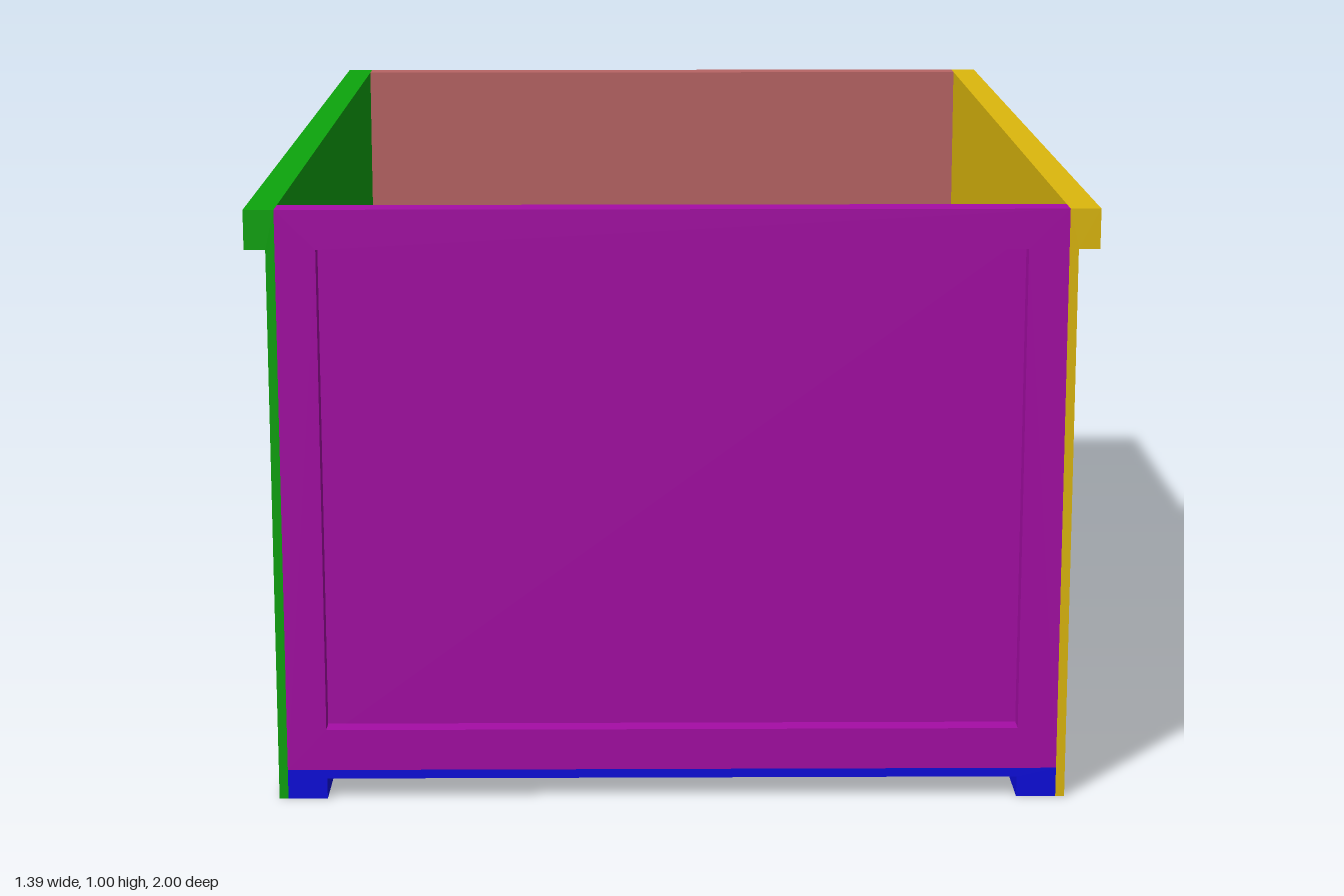
import * as THREE from 'three';

const HALF_LENGTH = 1, HEIGHT = 1;
const INNER_X = 0.645;   // inner face of the side walls
const SKIN = 0.015;      // thin sheet thickness
const DEPTH = 0.035;     // depth of lips, runners and recesses
const BORDER = 0.066;    // width of frame borders, lips and runners
const FLOOR = SKIN + DEPTH;

const paint = (color) => new THREE.MeshStandardMaterial({ color, flatShading: true });

// Extrudes an outline of [x, y] points along z over the whole crate length
function profile(name, points, material) {
  const shape = new THREE.Shape(points.map(([x, y]) => new THREE.Vector2(x, y)));
  const geometry = new THREE.ExtrudeGeometry(shape, { depth: 2 * HALF_LENGTH, bevelEnabled: false });
  geometry.translate(0, 0, -HALF_LENGTH);
  const mesh = new THREE.Mesh(geometry, material);
  mesh.name = name;
  return mesh;
}

// Side wall: thin sheet with an outward lip along the top; side is +1 or -1
function sideWall(name, side, color) {
  const outer = INNER_X + SKIN, lip = outer + DEPTH, lipY = HEIGHT - BORDER;
  const points = [[INNER_X, 0], [outer, 0], [outer, lipY], [lip, lipY], [lip, HEIGHT], [INNER_X, HEIGHT]];
  return profile(name, points.map(([x, y]) => [side * x, y]), paint(color));
}

// End panel: thin sheet behind a raised rectangular border, built facing +z
function endPanel(name, color) {
  const panel = new THREE.Group();
  panel.name = name;
  const material = paint(color);
  const rectangle = (Type, x, y0, y1) => new Type([
    new THREE.Vector2(-x, y0), new THREE.Vector2(x, y0),
    new THREE.Vector2(x, y1), new THREE.Vector2(-x, y1),
  ]);

  const outline = rectangle(THREE.Shape, INNER_X, FLOOR, HEIGHT);
  outline.holes.push(rectangle(THREE.Path, INNER_X - BORDER, FLOOR + 0.07, HEIGHT - BORDER));
  const border = new THREE.Mesh(
    new THREE.ExtrudeGeometry(outline, { depth: DEPTH, bevelEnabled: false }), material);
  border.name = name + 'Border';
  border.position.z = HALF_LENGTH - DEPTH;

  const sheet = new THREE.Mesh(new THREE.BoxGeometry(2 * INNER_X, HEIGHT - FLOOR, SKIN), material);
  sheet.name = name + 'Sheet';
  sheet.position.set(0, (HEIGHT + FLOOR) / 2, HALF_LENGTH - DEPTH - SKIN / 2);

  panel.add(border, sheet);
  return panel;
}

export function createModel() {
  const crate = new THREE.Group();
  crate.name = 'openCrate';

  // Floor with a runner along each long edge
  const runner = INNER_X - BORDER;
  crate.add(profile('floor', [
    [-INNER_X, 0], [-runner, 0], [-runner, DEPTH], [runner, DEPTH],
    [runner, 0], [INNER_X, 0], [INNER_X, FLOOR], [-INNER_X, FLOOR],
  ], paint(0x0d0ddd)));

  // Long walls
  crate.add(sideWall('leftWall', 1, 0xddb80d), sideWall('rightWall', -1, 0x0da50d));

  // Short walls
  const back = endPanel('backPanel', 0xb86464);
  back.rotation.y = Math.PI;
  crate.add(endPanel('frontPanel', 0xa50da5), back);

  return crate;
}
